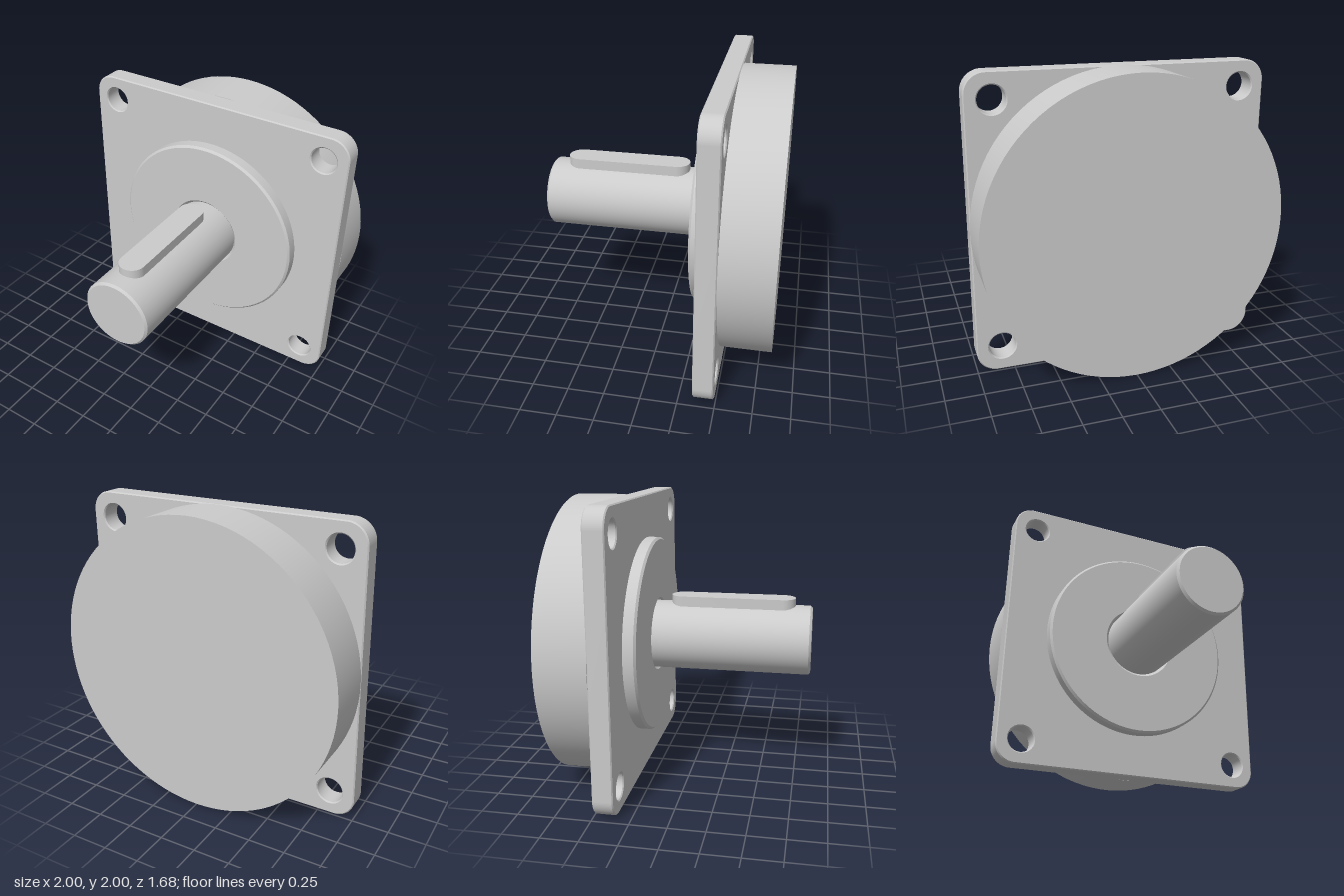
import * as THREE from 'three';
import { toCreasedNormals } from 'three/addons/utils/BufferGeometryUtils.js';

const CENTRE_Y = 1;
const material = new THREE.MeshStandardMaterial({ color: 0xcccccc });

function part(name, geometry) {
  const mesh = new THREE.Mesh(toCreasedNormals(geometry, 0.4), material);
  mesh.name = name;
  return mesh;
}

// Solid of revolution about the z axis; profile is [radius, z] from back to front
function turned(name, profile) {
  const points = profile.map(([r, z]) => new THREE.Vector2(r, z));
  const mesh = part(name, new THREE.LatheGeometry(points, 96).rotateX(Math.PI / 2));
  mesh.position.y = CENTRE_Y;
  return mesh;
}

// Square flange with rounded corners and four bolt holes
function mountingPlate() {
  const r = 0.14, s = 1, e = 1 - r, bevel = 0.008, depth = 0.14;
  const shape = new THREE.Shape();
  shape.moveTo(-e, -s).lineTo(e, -s);
  shape.absarc(e, -e, r, -Math.PI / 2, 0);
  shape.absarc(e, e, r, 0, Math.PI / 2);
  shape.absarc(-e, e, r, Math.PI / 2, Math.PI);
  shape.absarc(-e, -e, r, Math.PI, Math.PI * 1.5);
  for (const x of [-0.827, 0.827]) {
    for (const y of [-0.827, 0.827]) {
      const hole = new THREE.Path();
      hole.absarc(x, y, 0.09, 0, Math.PI * 2, true);
      shape.holes.push(hole);
    }
  }
  const geometry = new THREE.ExtrudeGeometry(shape, {
    depth: depth - 2 * bevel, curveSegments: 20,
    bevelThickness: bevel, bevelSize: bevel, bevelOffset: -bevel, bevelSegments: 1,
  });
  const mesh = part('mountingPlate', geometry);
  mesh.position.set(0, CENTRE_Y, -0.49 + bevel);
  return mesh;
}

// Round-ended key standing proud of the shaft
function shaftKey() {
  const r = 0.09, front = 0.72, back = -0.16;
  const shape = new THREE.Shape();
  shape.absarc(0, -back - r, r, 0, Math.PI);
  shape.absarc(0, -front + r, r, Math.PI, Math.PI * 2);
  const geometry = new THREE.ExtrudeGeometry(shape, {
    depth: 0.15, curveSegments: 20, bevelEnabled: false,
  }).rotateX(-Math.PI / 2);
  const mesh = part('shaftKey', geometry);
  mesh.position.y = 1.15;
  return mesh;
}

export function createModel() {
  const group = new THREE.Group();
  group.name = 'flangedShaft';
  group.add(
    turned('rearHousing', [[0, -0.84], [1, -0.84], [1, -0.49], [0, -0.49]]),
    mountingPlate(),
    // Raised locating boss, with a countersunk bore around the shaft
    turned('locatingBoss', [
      [0, -0.36], [0.7, -0.36], [0.7, -0.277], [0.685, -0.262], [0.265, -0.262], [0.24, -0.287],
    ]),
    turned('outputShaft', [
      [0, -0.36], [0.245, -0.36], [0.245, 0.825], [0.23, 0.84], [0, 0.84],
    ]),
    shaftKey(),
  );
  return group;
}
